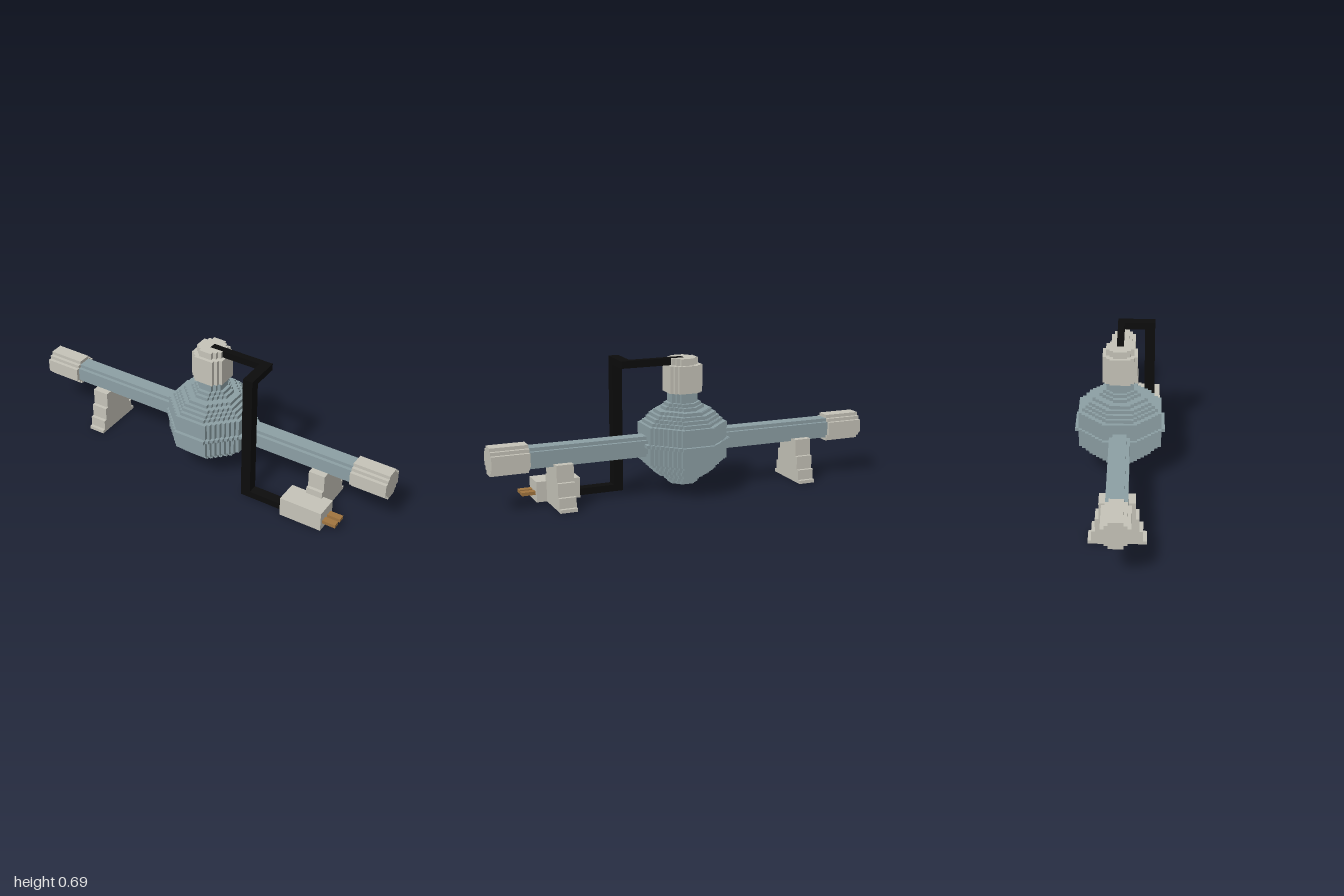
import * as THREE from 'three';
import { mergeGeometries } from 'three/addons/utils/BufferGeometryUtils.js';

const V = 2 / 116; // size of one block; all dimensions below are in blocks

// Stepped octagon: half-width of each block row, counted out from the centre
function octagonRows(a) {
  return Array.from({ length: a }, (_, r) => Math.min(a, Math.floor(Math.SQRT2 * (a - 0.4) - r)));
}

// Prism of a stepped outline, mirrored in both directions, extruded along z
function prism(rows, length) {
  const n = rows.length, right = [];
  let last = -1;
  for (let y = -n; y < n; y++) {
    const w = rows[y < 0 ? -y - 1 : y];
    if (w !== last) right.push([w, y]);
    right.push([w, y + 1]);
    last = w;
  }
  const left = right.map(([x, y]) => [-x, y]).reverse();
  const shape = new THREE.Shape([...right, ...left].map(([x, y]) => new THREE.Vector2(x, y)));
  return new THREE.ExtrudeGeometry(shape, { depth: length, bevelEnabled: false });
}

const upright = (rows, y0, y1) => prism(rows, y1 - y0).rotateX(-Math.PI / 2).translate(0, y0, 0);
const sideways = (rows, x0, x1, y) => prism(rows, x1 - x0).rotateY(Math.PI / 2).translate(x0, y, 0);

// Box from its lower and upper corners
function block(x0, x1, y0, y1, z0, z1) {
  return new THREE.BoxGeometry(x1 - x0, y1 - y0, z1 - z0)
    .translate((x0 + x1) / 2, (y0 + y1) / 2, (z0 + z1) / 2);
}

export function createModel() {
  const mat = (name, color) => {
    const m = new THREE.MeshStandardMaterial({ color });
    m.name = name;
    return m;
  };
  const cream = mat('cream', 0xc5c3b8);
  const glass = mat('blueGrey', 0x8c9fa4);
  const black = mat('black', 0x0c0c0c);
  const copper = mat('copper', 0xa0743f);

  const model = new THREE.Group();
  model.name = 'model';
  const add = (name, material, ...geos) => {
    const mesh = new THREE.Mesh(mergeGeometries(geos).scale(V, V, V), material);
    mesh.name = name;
    model.add(mesh);
  };

  // Globe: one octagonal slab per layer, symmetric about the widest one
  const radii = [13, 12, 12, 12, 12, 12, 11, 10, 9, 8, 6, 5, 4];
  const layers = [];
  for (let j = -12; j <= 12; j++) {
    layers.push(upright(octagonRows(radii[Math.abs(j)]), 15 + j, 16 + j));
  }
  add('globe', glass, ...layers);

  // Neck, cap and knob on top
  add('neck', glass, upright(octagonRows(4), 27, 30));
  add('topCap', cream, upright([5, 5, 5, 4, 3], 30, 38));
  add('topKnob', cream, upright(octagonRows(4), 38, 40));

  // Tube arms, end caps and stepped feet on both sides
  for (const [side, s] of [['left', 1], ['right', -1]]) {
    const arm = (rows, a, b) => sideways(rows, Math.min(s * a, s * b), Math.max(s * a, s * b), 15);
    add(side + 'Arm', glass, arm([3, 3, 2], 10, 47));
    add(side + 'EndCap', cream, arm(octagonRows(4), 47, 58));
    const steps = [[8, 0, 1], [7, 1, 4], [6, 4, 8], [5, 8, 13]];
    add(side + 'Foot', cream, ...steps.map(([w, y0, y1]) =>
      block(s * 37.5 - 2.5, s * 37.5 + 2.5, y0, y1, -w, w)));
  }

  // Cable running from the knob down to the plug
  add('cable', black,
    block(0, 19, 38, 40.08, -1, 1),
    block(16, 19, 38, 40.08, -1, 10),
    block(16, 19, 0, 40, 7, 10),
    block(16, 30, 0, 2, 7, 10));

  // Plug with two prongs
  add('plug', cream, block(30, 43, 0, 6, 5, 12));
  add('prongs', copper, block(43, 47, 2, 3, 9, 11), block(43, 47, 2, 3, 6, 8));

  return model;
}
